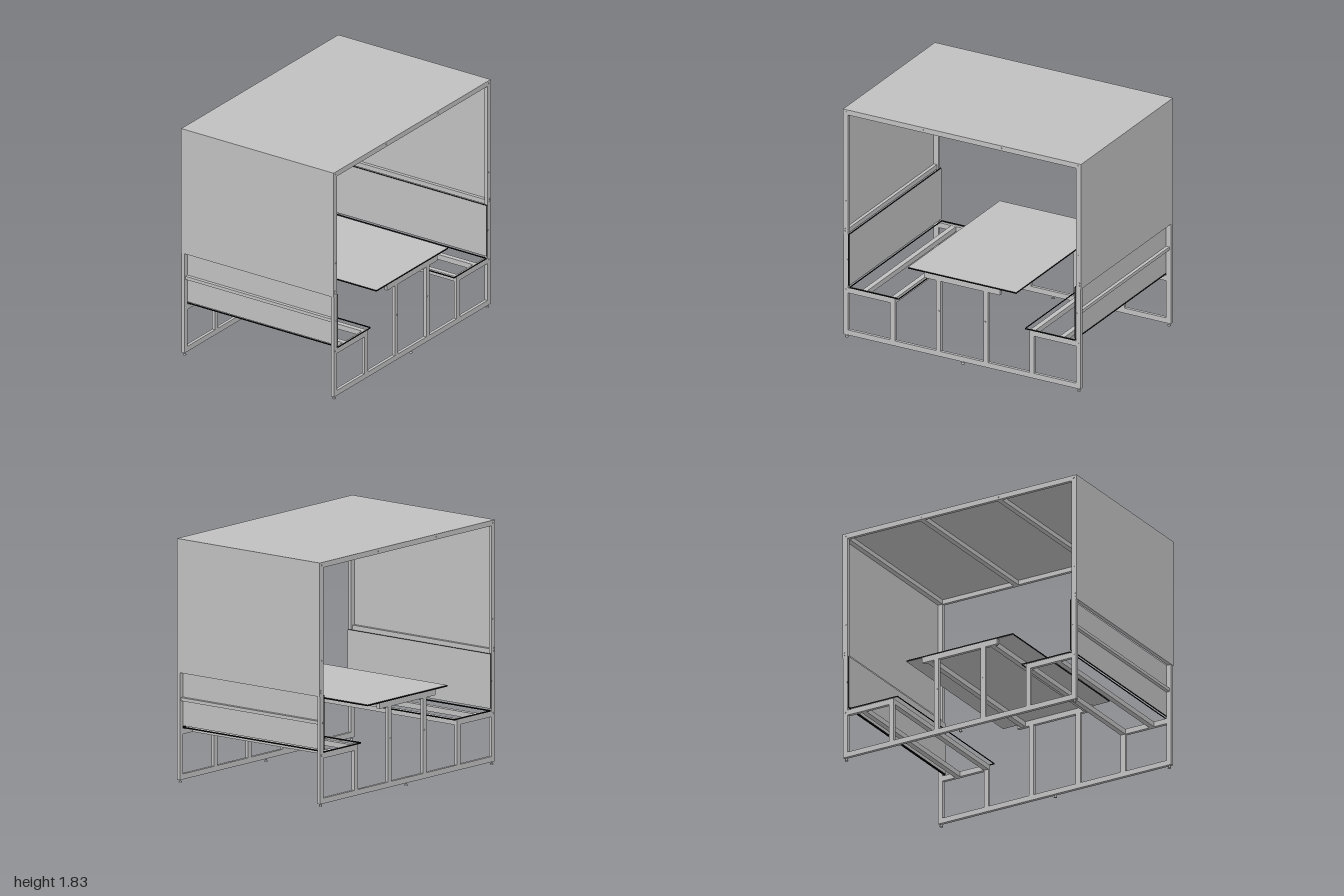
import * as THREE from 'three';

export function createModel() {
  const root = new THREE.Group();
  const steel = new THREE.MeshStandardMaterial({ color: 0xc0c0c0 });
  steel.name = 'light grey';
  const core = new THREE.MeshStandardMaterial({ color: 0x050505, side: THREE.DoubleSide });
  core.name = 'black edge';

  const add = (name, geo, mat, parent = root) => {
    const mesh = new THREE.Mesh(geo, mat);
    mesh.name = name;
    parent.add(mesh);
    return mesh;
  };
  // Box from its min and max corners
  const box = (name, [x0, y0, z0], [x1, y1, z1], mat = steel, parent = root) => {
    const geo = new THREE.BoxGeometry(Math.abs(x1 - x0), y1 - y0, z1 - z0);
    geo.translate((x0 + x1) / 2, (y0 + y1) / 2, (z0 + z1) / 2);
    return add(name, geo, mat, parent);
  };
  const edgedFlat = [core, core, steel, steel, core, core];
  const edgedUpright = [steel, steel, core, core, core, core];
  const IN = 0.655, OUT = 0.68;

  // End frames, front and back
  for (const s of [1, -1]) {
    const frame = new THREE.Group();
    frame.name = s > 0 ? 'frontFrame' : 'backFrame';
    root.add(frame);
    const za = s > 0 ? IN : -OUT, zb = s > 0 ? OUT : -IN;
    const bar = (name, x0, x1, y0, y1) => box(name, [x0, y0, za], [x1, y1, zb], steel, frame);
    bar('topBeam', -0.996, 0.996, 1.785, 1.821);
    bar('bottomBeam', -0.957, 0.957, 0.022, 0.063);
    bar('tableBeam', -0.32, 0.32, 0.625, 0.667);
    for (const m of [1, -1]) {
      bar('post', Math.min(m * 0.957, m * 0.996), Math.max(m * 0.957, m * 0.996), 0.022, 1.785);
      bar('tableLeg', m * 0.2 - 0.02, m * 0.2 + 0.02, 0.063, 0.625);
      bar('seatLeg', m * 0.585 - 0.02, m * 0.585 + 0.02, 0.063, 0.36);
      bar('seatArm', Math.min(m * 0.565, m * 0.957), Math.max(m * 0.565, m * 0.957), 0.36, 0.401);
    }
    // Levelling feet
    for (const x of [-0.975, 0, 0.975]) {
      const pad = new THREE.CylinderGeometry(0.011, 0.013, 0.01, 16);
      add('footPad', pad.translate(x, 0.005, s * 0.667), steel, frame);
      const stem = new THREE.CylinderGeometry(0.006, 0.006, 0.016, 12);
      add('footStem', stem.translate(x, 0.016, s * 0.667), steel, frame);
    }
    // Bolt heads
    const bolts = [[0.975, 1.805], [0.33, 1.805], [0.975, 1.09], [0.985, 0.85], [0.985, 0.87],
      [0.965, 0.625], [0.978, 0.385], [0.195, 0.385]];
    for (const [x, y] of bolts) for (const m of [1, -1]) {
      const bolt = new THREE.CylinderGeometry(0.006, 0.006, 0.005, 10);
      bolt.rotateX(Math.PI / 2).translate(m * x, y, s * (OUT + 0.0015));
      add('bolt', bolt, steel, frame);
    }
  }

  // Roof sheet and table top
  box('roof', [-1, 1.82, -OUT], [1, 1.825, OUT]);
  box('tableTop', [-0.455, 0.667, -OUT], [0.455, 0.678, OUT], edgedFlat);

  // Parts repeated on each side
  for (const m of [1, -1]) {
    const side = new THREE.Group();
    side.name = m > 0 ? 'leftSide' : 'rightSide';
    root.add(side);
    const rail = (name, x, w, y0, y1) =>
      box(name, [m * x - w / 2, y0, -IN], [m * x + w / 2, y1, IN], steel, side);
    rail('roofRail', 0.33, 0.04, 1.785, 1.82);
    rail('cornerRail', 0.976, 0.04, 1.785, 1.82);
    rail('wallRail', 0.983, 0.026, 0.826, 0.862);
    rail('backrestRail', 0.97, 0.027, 0.612, 0.637);
    rail('tableRail', 0.27, 0.04, 0.627, 0.667);
    rail('seatFrontRail', 0.585, 0.04, 0.36, 0.4);
    rail('seatRearRail', 0.83, 0.04, 0.36, 0.4);

    const wall = box('wall', [0.996, 0.825, -OUT], [1, 1.82, OUT], steel, side);
    const backrest = box('backrest', [0.945, 0.422, -0.682], [0.956, 0.83, 0.682], edgedUpright, side);
    for (const part of [wall, backrest]) if (m < 0) part.rotation.y = Math.PI;

    // Open black seat rim
    const rim = new THREE.CylinderGeometry(Math.SQRT1_2, Math.SQRT1_2, 1, 4, 1, true, Math.PI / 4).toNonIndexed();
    rim.scale(0.413, 0.011, 1.364).translate(m * 0.7375, 0.4065, 0);
    rim.computeVertexNormals();
    add('seatRim', rim, core, side);
  }
  return root;
}
